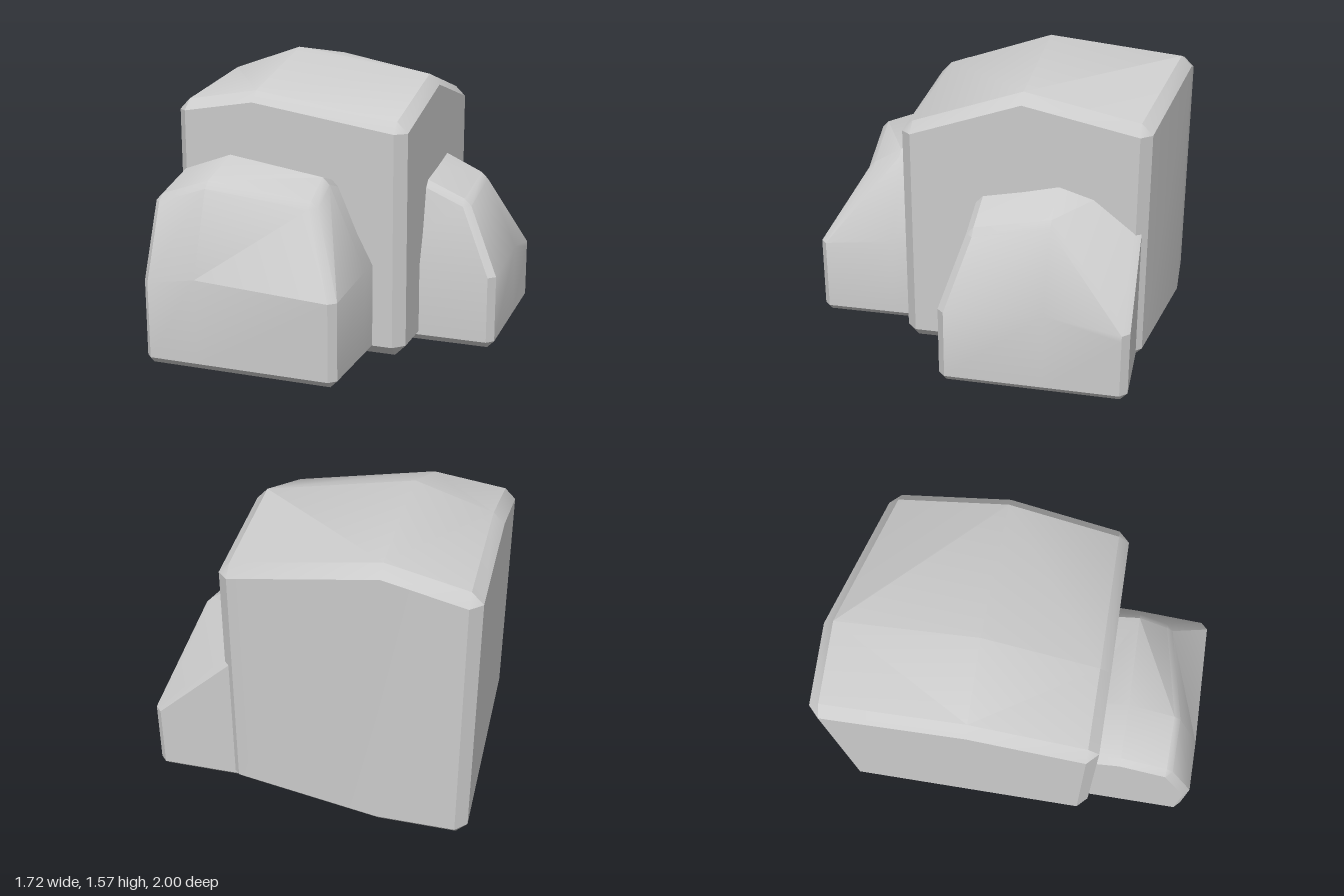
import * as THREE from 'three';
import { toCreasedNormals } from 'three/addons/utils/BufferGeometryUtils.js';

// Outward directions (x, z) of the front, right-hand, back and left-hand walls
const WALLS = [[0, 1], [1, 0], [0, -1], [-1, 0]];

// Eight points around the plan; corners open into two points to form the chamfer
function ring(points, c, dy = 0) {
  return points.flatMap(([x, y, z], i) => {
    const k = Math.floor(i / 2);
    const walls = i % 2 ? [WALLS[k]] : [WALLS[(k + 3) % 4], WALLS[k]];
    return walls.map(([dx, dz]) => new THREE.Vector3(x + dx * c, y + dy, z + dz * c));
  });
}

// Chamfered block: base is [x, z] per perimeter point, top is [x, y, z],
// mid holds the heights where leaning walls begin
function block(name, { base, top, centre, mid, c, floor }) {
  const tris = [];
  const tri = (a, b, d) => {
    const area = b.clone().sub(a).cross(d.clone().sub(a)).length();
    if (area > 1e-7) tris.push(a, b, d);
  };
  const at = (h) => base.map(([x, z], i) => [x, Array.isArray(h) ? h[i] : h, z]);

  // Chamfer, wall and top chamfer bands
  const rings = [ring(at(floor), 0), ring(at(floor + c), c)];
  if (mid) rings.push(ring(at(mid), c));
  rings.push(ring(top, c, -c), ring(top, 0));
  for (let r = 0; r + 1 < rings.length; r++) {
    const a = rings[r], b = rings[r + 1];
    for (let j = 0; j < a.length; j++) {
      const k = (j + 1) % a.length;
      tri(a[j], a[k], b[k]);
      tri(a[j], b[k], b[j]);
    }
  }

  // Faceted dome on top, flat face below
  const t = top.map((p) => new THREE.Vector3(...p));
  const f = at(floor).map((p) => new THREE.Vector3(...p));
  const apex = new THREE.Vector3(...centre);
  const under = new THREE.Vector3(centre[0], floor, centre[2]);
  for (let i = 0; i < 8; i++) {
    tri(under, f[(i + 1) % 8], f[i]);
    if (i % 2 === 0) {
      const prev = t[(i + 7) % 8], next = t[i + 1];
      tri(prev, t[i], next);
      tri(prev, next, apex);
    }
  }

  const geometry = toCreasedNormals(new THREE.BufferGeometry().setFromPoints(tris), 0.5);
  const mesh = new THREE.Mesh(geometry, new THREE.MeshStandardMaterial({ color: 0xcccccc }));
  mesh.name = name;
  return mesh;
}

export function createModel() {
  const group = new THREE.Group();
  group.name = 'blockyBoulders';

  // Large block with a slanted back
  const mainTop = [
    [-0.8, 1.32, 0.39], [-0.4, 1.38, 0.39], [0.385, 1.25, 0.39], [0.385, 1.44, -0.2],
    [0.385, 1.31, -0.8], [-0.4, 1.485, -0.94], [-0.8, 1.39, -0.94], [-0.8, 1.44, -0.2],
  ];
  group.add(block('mainBlock', {
    base: mainTop.map(([x, , z]) => [x, z]),
    top: mainTop, centre: [-0.4, 1.57, -0.2], c: 0.058, floor: 0,
  }));

  // Smaller block in front, leaning back and inward
  group.add(block('frontBlock', {
    base: [[-0.735, 0.965], [-0.47, 0.965], [0.24, 0.965], [0.24, 0.57],
      [0.24, 0.3], [-0.47, 0.3], [-0.735, 0.3], [-0.735, 0.57]],
    mid: [0.46, 0.5, 0.455, 0.5, 0.5, 0.5, 0.5, 0.46],
    top: [[-0.735, 0.885, 0.82], [-0.47, 0.97, 0.82], [0.05, 0.885, 0.73], [0.05, 0.975, 0.57],
      [0.05, 0.9, 0.3], [-0.47, 0.98, 0.3], [-0.735, 0.9, 0.3], [-0.735, 0.97, 0.57]],
    centre: [-0.47, 1.06, 0.57], c: 0.036, floor: 0.025,
  }));

  // Smaller block at the side, with its back corner falling away
  group.add(block('sideBlock', {
    base: [[-0.1, 0.11], [0.2, 0.11], [0.82, 0.11], [0.82, -0.4],
      [0.82, -0.79], [0.2, -0.79], [-0.1, -0.79], [-0.1, -0.4]],
    mid: [0.4, 0.45, 0.4, 0.44, 0.34, 0.4, 0.4, 0.4],
    top: [[-0.1, 0.9, 0], [0.2, 0.99, 0], [0.65, 0.79, 0], [0.65, 0.865, -0.4],
      [0.82, 0.41, -0.79], [0.2, 0.96, -0.79], [-0.1, 0.8, -0.79], [-0.1, 1, -0.4]],
    centre: [0.2, 1.08, -0.4], c: 0.038, floor: 0,
  }));

  return group;
}
